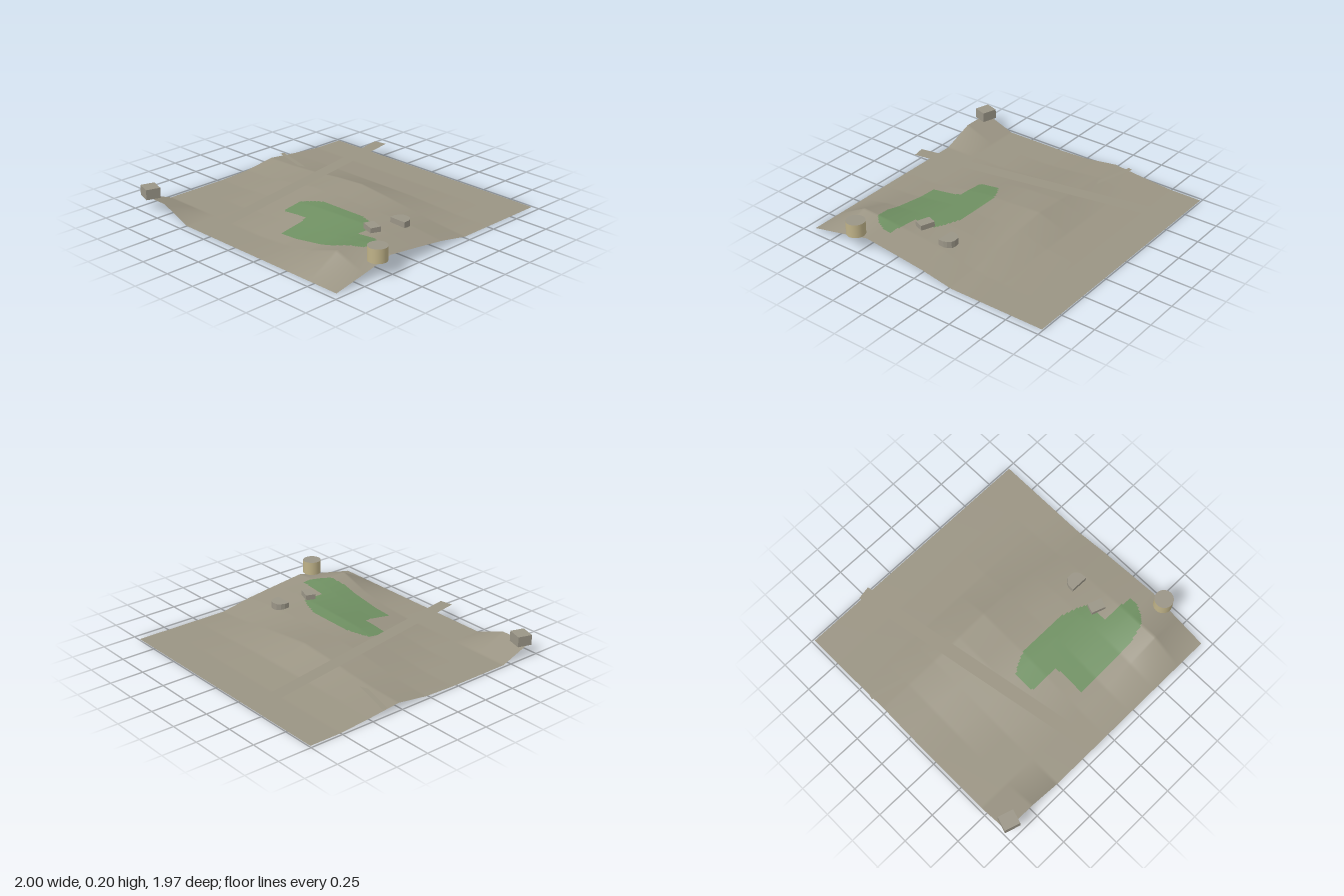
import * as THREE from 'three';

const mat = (name, color, side = THREE.FrontSide) => {
  const m = new THREE.MeshStandardMaterial({ color, side });
  m.name = name;
  return m;
};

// Coarse land heights in hundredths: rows run back to front, columns run -x to +x
const HEIGHTS = [
  [0, 0, 0, 0, 0, 0, 0, 0, 0],
  [0, 0, 0, 0, 0, 0, 0, 0, 0],
  [2, 2, 2, 2, 2, 2, 1, 0, 0],
  [4.5, 5, 6.5, 9, 10.5, 8, 5, 2, 0],
  [1, 2, 5, 8, 9, 8, 8, 7, 4.5],
  [0, 0, 2, 5, 8, 9, 9.7, 9.7, 7.5],
  [0, 0, 0, 2, 4, 5, 8, 12, 10.3],
  [0, 0, 0, 0, 0, 1.5, 5.5, 13.2, 5],
  [9, 9, 0, 0, 0, 0, 0, 0, 0],
];
const X0 = -0.98, X1 = 0.945, Z0 = -0.99, Z1 = 0.94;

// Outline of the grass, as x, z
const GRASS = [
  [-0.16, 0.2], [-0.12, 0.17], [-0.02, 0.125], [0.25, 0.125], [0.35, 0.115], [0.5, 0.165],
  [0.56, 0.2], [0.56, 0.36], [0.8, 0.37], [0.8, 0.43], [0.76, 0.52], [0.7, 0.57], [0.58, 0.6],
  [0.08, 0.6], [0.08, 0.42], [0.06, 0.36], [-0.14, 0.36], [-0.16, 0.34],
];

function landHeight(u, v) {
  const i = Math.min(7, Math.floor(u * 8)), j = Math.min(7, Math.floor(v * 8));
  const a = u * 8 - i, b = v * 8 - j;
  const back = THREE.MathUtils.lerp(HEIGHTS[j][i], HEIGHTS[j][i + 1], a);
  const front = THREE.MathUtils.lerp(HEIGHTS[j + 1][i], HEIGHTS[j + 1][i + 1], a);
  return THREE.MathUtils.lerp(back, front, b) / 100;
}

function inside(x, z, poly) {
  let hit = false;
  poly.forEach(([ax, az], k) => {
    const [bx, bz] = poly[(k + 1) % poly.length];
    if ((az > z) !== (bz > z) && x < ax + ((z - az) * (bx - ax)) / (bz - az)) hit = !hit;
  });
  return hit;
}

// Smooth land sheet whose cells fall into an earth group and a grass group
function landGeometry(n = 160) {
  const pos = [], earth = [], grass = [];
  for (let j = 0; j <= n; j++) for (let i = 0; i <= n; i++) {
    const u = i / n, v = j / n;
    pos.push(X0 + u * (X1 - X0), landHeight(u, v), Z0 + v * (Z1 - Z0));
  }
  for (let j = 0; j < n; j++) for (let i = 0; i < n; i++) {
    const a = j * (n + 1) + i, b = a + 1, c = a + n + 1, d = c + 1;
    const x = X0 + ((i + 0.5) / n) * (X1 - X0), z = Z0 + ((j + 0.5) / n) * (Z1 - Z0);
    (inside(x, z, GRASS) ? grass : earth).push(a, c, b, b, c, d);
  }
  const g = new THREE.BufferGeometry();
  g.setAttribute('position', new THREE.Float32BufferAttribute(pos, 3));
  g.setIndex([...earth, ...grass]);
  g.addGroup(0, earth.length, 0);
  g.addGroup(earth.length, grass.length, 1);
  g.computeVertexNormals();
  return g;
}

export function createModel() {
  const model = new THREE.Group();
  const earth = mat('earth', 0x9a9483, THREE.DoubleSide);
  const grass = mat('grass', 0x6f9062, THREE.DoubleSide);
  const stone = mat('stone', 0x9a9587);
  const tan = mat('tan wall', 0xbfb288);

  const add = (name, geometry, material, x = 0, y = 0, z = 0, turn = 0) => {
    const mesh = new THREE.Mesh(geometry, material);
    mesh.name = name;
    mesh.position.set(x, y, z);
    mesh.rotation.y = turn;
    model.add(mesh);
  };

  add('land', landGeometry(), [earth, grass]);

  // Flat strips: the long road and a short half-buried path
  const strip = (w, d) => new THREE.PlaneGeometry(w, d).rotateX(-Math.PI / 2);
  add('road', strip(0.1, 1.955), earth, -0.335, 0.108, -0.015, 0.18);
  add('path', strip(0.34, 0.035), earth, -0.825, 0.048, -0.345, -0.27);

  // Buildings
  add('cornerBuilding', new THREE.BoxGeometry(0.115, 0.075, 0.105), stone, -0.93, 0.1225, 0.912, -0.3);
  add('smallBuilding', new THREE.BoxGeometry(0.106, 0.045, 0.074), stone, 0.583, 0.1125, 0.252, -0.34);
  add('roundTower', new THREE.CylinderGeometry(0.068, 0.068, 0.1, 32), [tan, stone, tan], 0.932, 0.15, 0.565);

  // Building with a rounded back
  const plan = new THREE.Shape([
    [-0.065, -0.048], [0.065, -0.05], [0.065, -0.01], [0.055, 0.015], [0.035, 0.038],
    [0.01, 0.045], [-0.03, 0.042], [-0.053, 0.02], [-0.065, -0.01],
  ].map(([x, y]) => new THREE.Vector2(x, y)));
  const apse = new THREE.ExtrudeGeometry(plan, { depth: 0.05, bevelEnabled: false }).rotateX(-Math.PI / 2);
  add('roundedBuilding', apse, stone, 0.62, 0.07, 0);

  return model;
}
